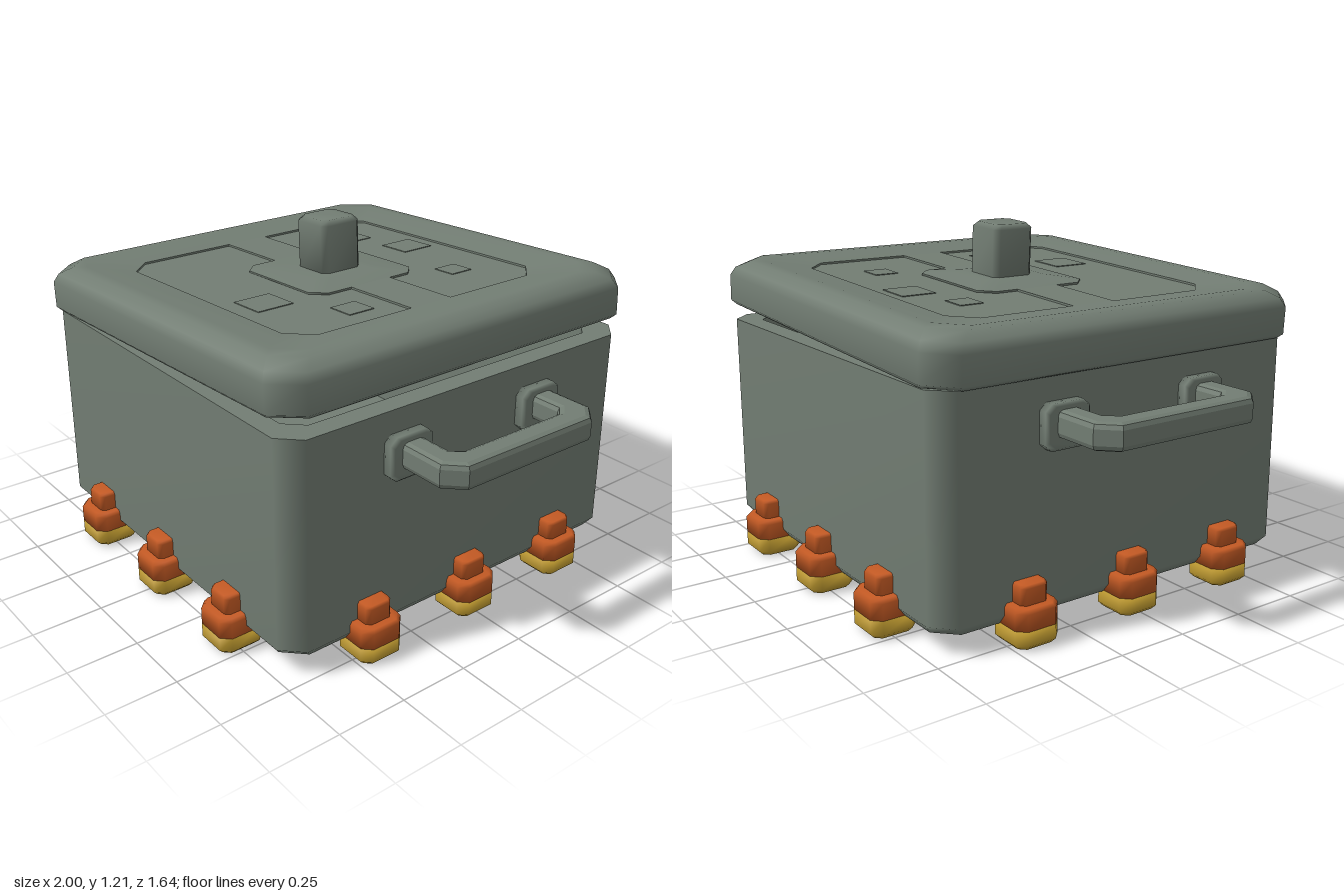
import * as THREE from 'three';

const iron = new THREE.MeshStandardMaterial({ name: 'greyIron', color: 0x727d73 });
const ember = new THREE.MeshStandardMaterial({ name: 'orange', color: 0xc45a24 });
const gold = new THREE.MeshStandardMaterial({ name: 'yellow', color: 0xba962e });

// Stacks chamfered squares [half width, y, corner chamfer]; a repeated ring gives a sharp edge.
function loft(rings) {
  const pos = [], idx = [];
  for (const [h, y, c] of rings) {
    const k = h - c;
    for (const [x, z] of [[h, -k], [h, k], [k, h], [-k, h], [-h, k], [-h, -k], [-k, -h], [k, -h]]) pos.push(x, y, z);
  }
  for (let r = 0; r < rings.length - 1; r++) {
    for (let i = 0; i < 8; i++) {
      const a = r * 8 + i, b = r * 8 + (i + 1) % 8;
      idx.push(a, a + 8, b, b, a + 8, b + 8);
    }
  }
  const t = (rings.length - 1) * 8;
  for (let i = 1; i < 7; i++) idx.push(0, i, i + 1, t, t + i + 1, t + i);
  const g = new THREE.BufferGeometry();
  g.setAttribute('position', new THREE.Float32BufferAttribute(pos, 3));
  g.setIndex(idx);
  g.computeVertexNormals();
  return g;
}

function add(parent, name, geometry, material, x = 0, y = 0, z = 0) {
  const m = new THREE.Mesh(geometry, material);
  m.name = name;
  m.position.set(x, y, z);
  parent.add(m);
  return m;
}

function box(parent, name, w, h, d, x, y, z) {
  return add(parent, name, new THREE.BoxGeometry(w, h, d), iron, x, y, z);
}

function makeLid() {
  const lid = new THREE.Group();
  lid.name = 'lid';
  add(lid, 'lidPlate', loft([
    [0.74, 0, 0.09], [0.755, 0.015, 0.09], [0.755, 0.11, 0.09], [0.74, 0.14, 0.09], [0.7, 0.165, 0.09],
    [0.66, 0.167, 0.09], [0.53, 0.15, 0.08], [0.53, 0.15, 0.08], [0.53, 0.143, 0.08], [0.53, 0.143, 0.08],
  ]), iron);
  // raised centre, with a band on either side separating the two sunken panels
  add(lid, 'centrePad', loft([[0.225, 0.14, 0.05], [0.225, 0.15, 0.05], [0.225, 0.15, 0.05], [0.12, 0.163, 0.03]]), iron);
  for (const s of [-1, 1]) box(lid, 'panelBand', 0.33, 0.012, 0.17, s * 0.368, 0.144, -0.005);
  add(lid, 'knob', loft([
    [0.083, 0.15, 0.02], [0.083, 0.33, 0.02], [0.068, 0.347, 0.02],
  ]), iron);
  // shallow square patches on the panels
  for (const [x, z, w] of [[-0.06, -0.42, 0.13], [-0.29, -0.35, 0.09], [0.29, -0.33, 0.09], [0.39, 0.21, 0.1], [0.15, 0.39, 0.14]]) {
    box(lid, 'lidPatch', w, 0.006, w, x, 0.143, z);
  }
  box(lid, 'undersideBlock', 0.165, 0.04, 0.16, 0.06, -0.006, -0.14);
  lid.position.set(-0.005, 0.862, 0);
  lid.rotation.z = 0.0436;
  return lid;
}

// U-shaped grip, drawn in plan and extruded upward with bevelled edges
function makeHandle() {
  const handle = new THREE.Group();
  handle.name = 'handle';
  const b = 0.02;
  const outline = [
    [0.72, 0.33 - b], [0.93, 0.33 - b], [1 - b, 0.26], [1 - b, -0.26], [0.93, -0.33 + b], [0.72, -0.33 + b],
    [0.72, -0.24 - b], [0.89, -0.24 - b], [0.91 + b, -0.215], [0.91 + b, 0.215], [0.89, 0.24 + b], [0.72, 0.24 + b],
  ].map(([x, z]) => new THREE.Vector2(x, z));
  const grip = new THREE.ExtrudeGeometry(new THREE.Shape(outline), {
    depth: 0.05, bevelSize: b, bevelThickness: b, bevelSegments: 2,
  });
  grip.rotateX(Math.PI / 2);
  add(handle, 'grip', grip, iron, 0, 0.71, 0);
  for (const s of [-1, 1]) {
    const mount = loft([[0.085, 0, 0.025], [0.085, 0.04, 0.025], [0.075, 0.05, 0.025]]);
    mount.scale(0.88, 1, 1);
    mount.rotateZ(-Math.PI / 2);
    add(handle, 'handleMount', mount, iron, 0.725, 0.675, s * 0.285);
  }
  return handle;
}

function makeFoot() {
  const foot = new THREE.Group();
  foot.name = 'foot';
  add(foot, 'footTip', loft([[0.066, 0, 0.02], [0.082, 0.016, 0.03], [0.082, 0.065, 0.03]]), gold);
  add(foot, 'footBase', loft([[0.082, 0.065, 0.03], [0.082, 0.122, 0.03], [0.074, 0.135, 0.03]]), ember);
  add(foot, 'footNeck', loft([[0.051, 0.12, 0.015], [0.051, 0.19, 0.015], [0.046, 0.2, 0.015]]), ember);
  return foot;
}

export function createModel() {
  const model = new THREE.Group();
  model.name = 'pot';

  // hollow pot with a flat rim
  add(model, 'potBody', loft([
    [0.67, 0.05, 0.06], [0.71, 0.062, 0.07], [0.735, 0.095, 0.07], [0.735, 0.83, 0.07], [0.735, 0.83, 0.07],
    [0.66, 0.83, 0.06], [0.66, 0.83, 0.06], [0.66, 0.15, 0.06], [0.66, 0.15, 0.06],
  ]), iron);
  model.add(makeLid());

  for (const angle of [0, Math.PI]) {
    const handle = makeHandle();
    handle.rotation.y = angle;
    model.add(handle);
  }

  // three feet along each side
  for (let side = 0; side < 4; side++) {
    const row = new THREE.Group();
    row.name = 'footRow';
    row.rotation.y = side * Math.PI / 2;
    for (const x of [-0.417, 0, 0.417]) {
      const foot = makeFoot();
      foot.position.set(x, 0, 0.738);
      row.add(foot);
    }
    model.add(row);
  }
  return model;
}
